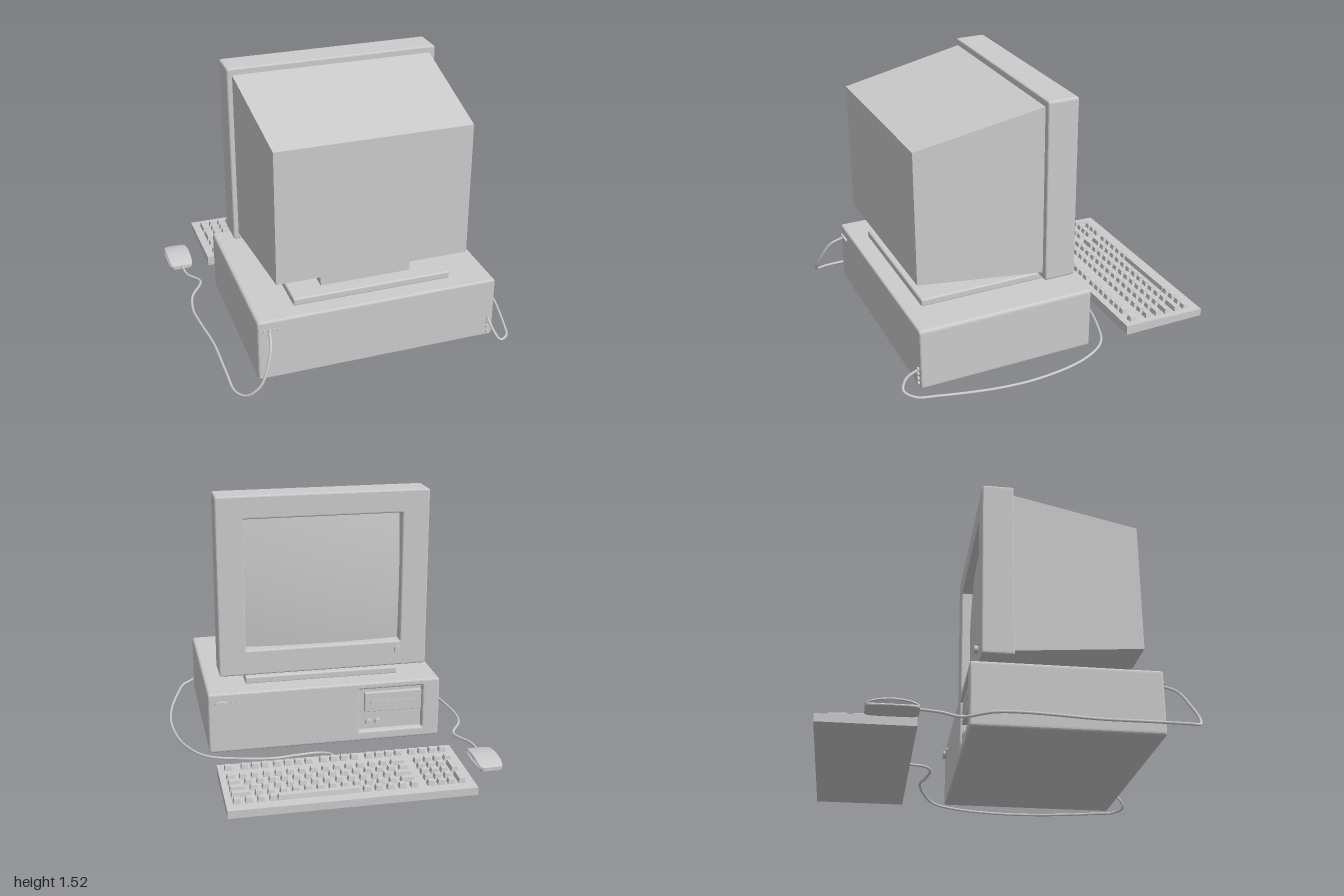
import * as THREE from 'three';
import { mergeGeometries } from 'three/addons/utils/BufferGeometryUtils.js';
import { RoundedBoxGeometry } from 'three/addons/geometries/RoundedBoxGeometry.js';

const grey = new THREE.MeshStandardMaterial({ color: 0xcccccc });
const greyTwoSided = new THREE.MeshStandardMaterial({ color: 0xcccccc, side: THREE.DoubleSide });

function add(parent, name, geometry, material = grey) {
  const mesh = new THREE.Mesh(geometry, material);
  mesh.name = name;
  parent.add(mesh);
}

function group(parent, name) {
  const g = new THREE.Group();
  g.name = name;
  parent.add(g);
  return g;
}

// Box given by its limits on each axis; r > 0 rounds the edges
function box([x0, x1], [y0, y1], [z0, z1], r = 0) {
  const size = [x1 - x0, y1 - y0, z1 - z0];
  const g = r ? new RoundedBoxGeometry(...size, 3, r) : new THREE.BoxGeometry(...size);
  return g.translate((x0 + x1) / 2, (y0 + y1) / 2, (z0 + z1) / 2);
}

// Box with rectangle a = [x0, x1, y0, y1] at z0 and rectangle b at z1
function taperedBox(a, b, z0, z1) {
  const g = new THREE.BoxGeometry(1, 1, 1).toNonIndexed();
  const p = g.attributes.position;
  for (let i = 0; i < p.count; i++) {
    const end = p.getZ(i) > 0 ? b : a;
    p.setXYZ(i, end[p.getX(i) > 0 ? 1 : 0], end[p.getY(i) > 0 ? 3 : 2], p.getZ(i) > 0 ? z1 : z0);
  }
  g.computeVertexNormals();
  return g;
}

function outline(path, [x0, x1], [y0, y1], r) {
  path.moveTo(x0 + r, y0);
  path.lineTo(x1 - r, y0);
  path.quadraticCurveTo(x1, y0, x1, y0 + r);
  path.lineTo(x1, y1 - r);
  path.quadraticCurveTo(x1, y1, x1 - r, y1);
  path.lineTo(x0 + r, y1);
  path.quadraticCurveTo(x0, y1, x0, y1 - r);
  path.lineTo(x0, y0 + r);
  path.quadraticCurveTo(x0, y0, x0 + r, y0);
  return path;
}

// Slab across x and y with rounded rims and an optional rectangular opening
function slab(x, y, [z0, z1], corner, bevel, hole) {
  const shape = outline(new THREE.Shape(), x, y, corner);
  if (hole) shape.holes.push(outline(new THREE.Path(), hole[0], hole[1], 0.004));
  return new THREE.ExtrudeGeometry(shape, {
    depth: z1 - z0 - 2 * bevel, curveSegments: 4, bevelEnabled: bevel > 0,
    bevelThickness: bevel, bevelSize: bevel, bevelOffset: -bevel, bevelSegments: 3,
  }).translate(0, 0, z0 + bevel);
}

// Round button pointing along z
function knob(x, y, z0, z1, rx, ry = rx) {
  return new THREE.CylinderGeometry(1, 1, z1 - z0, 24).rotateX(Math.PI / 2)
    .scale(rx, ry, 1).translate(x, y, (z0 + z1) / 2);
}

function cable(parent, name, points) {
  const curve = new THREE.CatmullRomCurve3(points.map((p) => new THREE.Vector3(...p)));
  add(parent, name, new THREE.TubeGeometry(curve, 140, 0.008, 8));
}

function buildCase(root) {
  const g = group(root, 'computerCase');
  const x = [-0.685, 0.715], y = [0.01, 0.38];
  add(g, 'caseBody', slab(x, y, [-0.175, 0.79], 0.02, 0));
  add(g, 'caseFront', slab(x, y, [-0.215, -0.12], 0.02, 0.012, [[-0.58, -0.19], [0.07, 0.34]]));
  add(g, 'caseBack', slab(x, y, [0.74, 0.825], 0.02, 0.012));

  // Disk drive in its bay
  add(g, 'drivePanel', slab([-0.575, -0.225], [0.19, 0.31], [-0.205, -0.17], 0.006, 0.003));
  add(g, 'driveSlot', box([-0.54, -0.26], [0.245, 0.257], [-0.209, -0.2]));
  for (const bx of [-0.253, -0.31]) add(g, 'driveButton', knob(bx, 0.115, -0.205, -0.17, 0.02));

  // Power button and lamps
  add(g, 'powerButton', knob(0.637, 0.315, -0.236, -0.21, 0.039, 0.021));
  for (const lx of [0.535, 0.57]) add(g, 'lamp', knob(lx, 0.315, -0.224, -0.21, 0.012));

  // Sockets on the back
  for (let i = 0; i < 4; i++) {
    add(g, 'topSocket', knob(-0.645 + i * 0.027, 0.32, 0.82, 0.836, 0.01));
    add(g, 'sideSocket', knob(0.683, 0.04 + i * 0.03, 0.82, 0.836, 0.011));
  }
}

function buildMonitor(root) {
  const g = group(root, 'monitor');
  add(g, 'standBase', box([-0.45, 0.475], [0.375, 0.42], [-0.08, 0.72], 0.01));
  add(g, 'standNeck', taperedBox([-0.265, 0.287, 0.41, 0.56], [-0.265, 0.265, 0.41, 0.56], 0.185, 0.63));
  add(g, 'tubeHousing', taperedBox([-0.58, 0.6, 0.495, 1.49], [-0.558, 0.547, 0.562, 1.336], 0.02, 0.767));
  add(g, 'bezel', slab([-0.61, 0.635], [0.458, 1.525], [-0.145, 0.037], 0.016, 0.01,
    [[-0.45, 0.475], [0.61, 1.39]]));

  // Bulging glass set back in the bezel
  const w = 0.93, h = 0.79;
  const glass = new THREE.PlaneGeometry(w, h, 16, 16).rotateY(Math.PI);
  const p = glass.attributes.position;
  for (let i = 0; i < p.count; i++) {
    const u = p.getX(i) * 2 / w, v = p.getY(i) * 2 / h;
    p.setZ(i, -0.115 + 0.025 * u * u + 0.02 * v * v);
  }
  glass.computeVertexNormals();
  add(g, 'screen', glass.translate(0.0125, 1, 0), greyTwoSided);
  add(g, 'dial', knob(-0.435, 0.557, -0.167, -0.14, 0.022));
}

function buildKeyboard(root) {
  const g = group(root, 'keyboard');
  const topY = (z) => 0.044 + (z + 1) * 0.029;

  // Wedge-shaped tray
  const tray = box([-0.67, 0.7], [0, 1], [-1, -0.478]).toNonIndexed();
  const p = tray.attributes.position;
  for (let i = 0; i < p.count; i++) if (p.getY(i) > 0.5) p.setY(i, topY(p.getZ(i)));
  tray.computeVertexNormals();
  add(g, 'tray', tray);

  // Keycaps narrow toward the top
  const keys = [];
  const key = (x, z, w = 0.044, d = 0.042) => {
    const t = 0.006;
    const cap = taperedBox([-w / 2, w / 2, -d / 2, d / 2], [t - w / 2, w / 2 - t, t - d / 2, d / 2 - t], -0.004, 0.027);
    keys.push(cap.rotateX(-Math.PI / 2 - 0.029).translate(x, topY(z), z));
  };
  const run = (x0, x1, n, z) => {
    for (let i = 0; i < n; i++) key(x0 + (x1 - x0) * i / (n - 1), z);
  };

  // Number pad, with two tall keys on its outer column
  const rows = [-0.915, -0.85, -0.783, -0.716, -0.648];
  for (const z of rows) run(-0.54, -0.425, 3, z);
  key(-0.6, -0.882, 0.044, 0.108);
  key(-0.6, -0.75, 0.044, 0.108);
  key(-0.6, -0.648);

  // Space bar row
  run(-0.33, -0.066, 5, rows[0]);
  key(0.195, rows[0], 0.455);
  run(0.445, 0.64, 4, rows[0]);

  // Letter rows: a wide key at each end
  for (const [z, a, b] of [[rows[1], 0.08, 0.11], [rows[2], 0.095, 0.09], [rows[3], 0.055, 0.07], [rows[4], 0.085, 0.05]]) {
    key(-0.35 + a / 2, z, a);
    key(0.665 - b / 2, z, b);
    const x0 = -0.35 + a + 0.042, x1 = 0.665 - b - 0.042;
    run(x0, x1, Math.round((x1 - x0) / 0.065) + 1, z);
  }

  // Separate row of blocks along the far edge
  const far = -0.54;
  run(-0.603, -0.42, 4, far);
  run(-0.34, -0.165, 4, far);
  run(-0.08, 0.1, 4, far);
  run(0.185, 0.365, 4, far);
  run(0.435, 0.55, 3, far);
  key(0.643, far);
  add(g, 'keys', mergeGeometries(keys));
}

function buildMouse(root) {
  // Arched side profile, pulled in toward both ends
  const n = 16, half = 0.135;
  const s = new THREE.Shape();
  s.moveTo(-half, 0.006);
  for (let i = 0; i <= n; i++) {
    const t = -1 + 2 * i / n;
    s.lineTo(t * half, 0.052 - 0.024 * t * t);
  }
  for (let i = n; i > 0; i--) s.lineTo((-1 + 2 * i / n) * half, 0.006);
  const g = new THREE.ExtrudeGeometry(s, {
    depth: 0.134, bevelThickness: 0.008, bevelSize: 0.008, bevelOffset: -0.008, bevelSegments: 3,
  }).translate(0, 0, -0.067).rotateY(-Math.PI / 2);
  const p = g.attributes.position;
  for (let i = 0; i < p.count; i++) {
    const t = Math.abs(p.getZ(i) / half);
    p.setX(i, p.getX(i) * (1 - 0.06 * t * t - 0.24 * t ** 12));
  }
  g.computeVertexNormals();
  add(root, 'mouse', g.translate(-0.84, 0, -0.615));
}

export function createModel() {
  const root = new THREE.Group();
  root.name = 'desktopComputer';
  buildCase(root);
  buildMonitor(root);
  buildKeyboard(root);
  buildMouse(root);
  cable(root, 'mouseCable', [
    [-0.84, 0.025, -0.49], [-0.83, 0.02, -0.38], [-0.77, 0.025, -0.26], [-0.855, 0.025, -0.1],
    [-0.88, 0.02, 0.04], [-0.868, 0.02, 0.2], [-0.842, 0.02, 0.42], [-0.84, 0.02, 0.7],
    [-0.832, 0.022, 0.9], [-0.785, 0.04, 0.97], [-0.72, 0.1, 0.992], [-0.67, 0.19, 0.965],
    [-0.635, 0.28, 0.91], [-0.617, 0.32, 0.82],
  ]);
  cable(root, 'keyboardCable', [
    [0.013, 0.03, -0.49], [0.025, 0.025, -0.39], [0.08, 0.022, -0.355], [0.24, 0.025, -0.37],
    [0.36, 0.03, -0.393], [0.555, 0.028, -0.355], [0.74, 0.025, -0.275], [0.85, 0.025, -0.1],
    [0.905, 0.025, 0.19], [0.893, 0.025, 0.45], [0.82, 0.025, 0.77], [0.78, 0.025, 0.885],
    [0.715, 0.04, 0.93], [0.685, 0.09, 0.9], [0.683, 0.13, 0.82],
  ]);
  return root;
}
